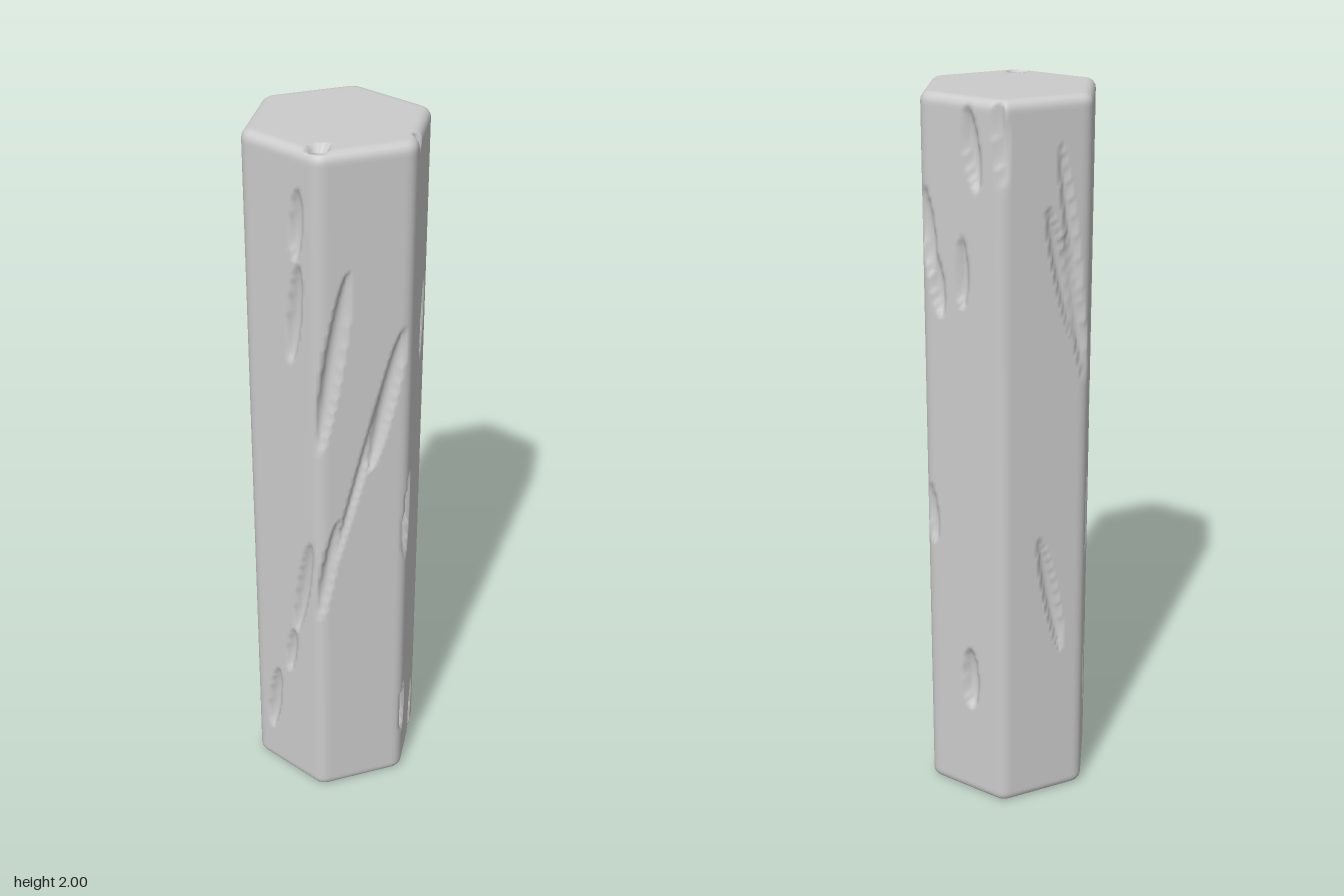
import * as THREE from 'three';

const APOTHEM = 0.215, FILLET = 0.04, BEVEL = 0.024, HEIGHT = 2;

// Rounded hexagon: base points on the inner hexagon plus an outward direction
function hexOutline(flatSteps, arcSteps) {
  const pts = [];
  const inner = APOTHEM - FILLET, R = inner / Math.cos(Math.PI / 6);
  for (let k = 0; k < 6; k++) {
    const a = k * Math.PI / 3, c0 = a - Math.PI / 6, c1 = a + Math.PI / 6;
    for (let i = 0; i < flatSteps; i++) {
      const t = i / flatSteps;
      pts.push({
        x: R * THREE.MathUtils.lerp(Math.cos(c0), Math.cos(c1), t),
        z: R * THREE.MathUtils.lerp(Math.sin(c0), Math.sin(c1), t),
        nx: Math.cos(a), nz: Math.sin(a)
      });
    }
    for (let i = 0; i < arcSteps; i++) {
      const b = a + (Math.PI / 3) * i / arcSteps;
      pts.push({ x: R * Math.cos(c1), z: R * Math.sin(c1), nx: Math.cos(b), nz: Math.sin(b) });
    }
  }
  return pts;
}

// Rows from the bottom centre, out, up the side and back to the top centre
function profileRows() {
  const half = [], capSteps = 22, bevelSteps = 4, sideSteps = 220;
  for (let i = 0; i < capSteps; i++) half.push({ scale: i / capSteps, r: FILLET - BEVEL, y: 0 });
  for (let i = 0; i <= bevelSteps; i++) {
    const a = (i / bevelSteps) * Math.PI / 2;
    half.push({ scale: 1, r: FILLET - BEVEL + BEVEL * Math.sin(a), y: BEVEL * (1 - Math.cos(a)) });
  }
  const side = [];
  for (let i = 1; i < sideSteps; i++) {
    side.push({ scale: 1, r: FILLET, y: THREE.MathUtils.lerp(BEVEL, HEIGHT - BEVEL, i / sideSteps) });
  }
  const top = half.map(p => ({ ...p, y: HEIGHT - p.y })).reverse();
  return [...half, ...side, ...top];
}

// Gouges per face (counted from +x towards +z): [across, top, across, bottom, half width]
const FACE_GOUGES = [
  [[-0.02, 1.98, -0.05, 1.77, 0.021], [-0.105, 2.04, -0.14, 1.75, 0.02], [0.12, 1.77, 0.09, 1.52, 0.021],
    [0.09, 1.6, 0.065, 1.43, 0.02], [0, 1.65, -0.003, 1.46, 0.017], [0.118, 0.95, 0.1, 0.77, 0.018],
    [-0.012, 0.47, -0.02, 0.28, 0.024]],
  [[-0.064, 1.56, -0.034, 1.34, 0.02], [0.09, 1.06, 0.115, 0.79, 0.021], [0.095, 0.32, 0.1, 0.14, 0.023],
    [-0.066, 0.2, -0.03, -0.05, 0.02], [0.066, 2.05, 0.066, 1.965, 0.02]],
  [[0.045, 1.69, 0.13, 1.16, 0.024], [-0.105, 1.51, -0.015, 1.1, 0.022], [-0.095, 1.5, 0.1, 0.75, 0.012],
    [0.07, 0.96, 0.135, 0.6, 0.018]],
  [[-0.06, 1.9, -0.05, 1.71, 0.018], [-0.06, 1.7, -0.03, 1.42, 0.021], [-0.09, 0.88, -0.035, 0.55, 0.021],
    [-0.025, 0.55, -0.005, 0.39, 0.016], [0.04, 0.37, 0.07, 0.13, 0.02]],
  [[-0.08, 1.18, -0.08, 1.05, 0.02], [0.06, 1.0, 0.05, 0.7, 0.021], [-0.018, 0.94, -0.035, 0.67, 0.021],
    [0.028, 0.44, 0.01, 0.21, 0.024]],
  [[-0.035, 1.89, -0.1, 1.45, 0.014], [-0.003, 1.73, -0.085, 1.37, 0.018], [-0.05, 1.66, -0.124, 1.24, 0.018],
    [0.014, 0.82, -0.058, 0.46, 0.018]]
];

// Round pits in the end faces: [x, y, z, radius]
const PITS = [[-0.175, HEIGHT, 0.095, 0.026], [0, 0, 0, 0.016], [-0.146, 0, 0.105, 0.017]];

function makeCutters() {
  const cutters = [];
  FACE_GOUGES.forEach((list, k) => {
    const a = k * Math.PI / 3;
    const normal = new THREE.Vector3(Math.cos(a), 0, Math.sin(a));
    const across = new THREE.Vector3(-Math.sin(a), 0, Math.cos(a));
    const at = (u, y) => normal.clone().multiplyScalar(APOTHEM).addScaledVector(across, u).setY(y);
    for (const [u0, y0, u1, y1, width] of list) {
      const p = at(u0, y0), q = at(u1, y1);
      const axis = q.clone().sub(p), length = axis.length() / 2;
      axis.normalize();
      cutters.push({ centre: p.add(q).multiplyScalar(0.5), normal, axis, length, width,
        side: axis.clone().cross(normal), depth: width });
    }
  });
  for (const [x, y, z, radius] of PITS) {
    cutters.push({ centre: new THREE.Vector3(x, y, z), normal: new THREE.Vector3(0, y > 1 ? 1 : -1, 0),
      axis: new THREE.Vector3(1, 0, 0), side: new THREE.Vector3(0, 0, 1),
      length: radius, width: radius, depth: radius });
  }
  return cutters;
}

// Press a surface point down to the floor of every gouge that covers it
function carve(point, cutters) {
  const q = new THREE.Vector3();
  for (const c of cutters) {
    q.subVectors(point, c.centre);
    const h = q.dot(c.normal);
    if (Math.abs(h) > 0.06) continue;
    const s = q.dot(c.axis) / c.length, t = q.dot(c.side) / c.width;
    const f = 1 - s * s - t * t;
    if (f <= 0) continue;
    const floor = -c.depth * Math.sqrt(f);
    if (h > floor) point.addScaledVector(c.normal, floor - h);
  }
  return point;
}

export function createModel() {
  const outline = hexOutline(26, 4), rows = profileRows(), cutters = makeCutters();
  const positions = [], index = [], n = outline.length;
  const p = new THREE.Vector3();
  rows.forEach((row, j) => {
    outline.forEach((o, i) => {
      p.set((o.x + o.nx * row.r) * row.scale, row.y, (o.z + o.nz * row.r) * row.scale);
      carve(p, cutters);
      positions.push(p.x, p.y, p.z);
      if (j < rows.length - 1) {
        const a = j * n + i, b = j * n + (i + 1) % n;
        index.push(a, a + n, b, b, a + n, b + n);
      }
    });
  });
  const geometry = new THREE.BufferGeometry();
  geometry.setAttribute('position', new THREE.Float32BufferAttribute(positions, 3));
  geometry.setIndex(index);
  geometry.computeVertexNormals();

  const pillar = new THREE.Mesh(geometry, new THREE.MeshStandardMaterial({ color: 0xcccccc }));
  pillar.name = 'gougedHexagonalPillar';
  const group = new THREE.Group();
  group.name = 'pillar';
  group.add(pillar);
  return group;
}
